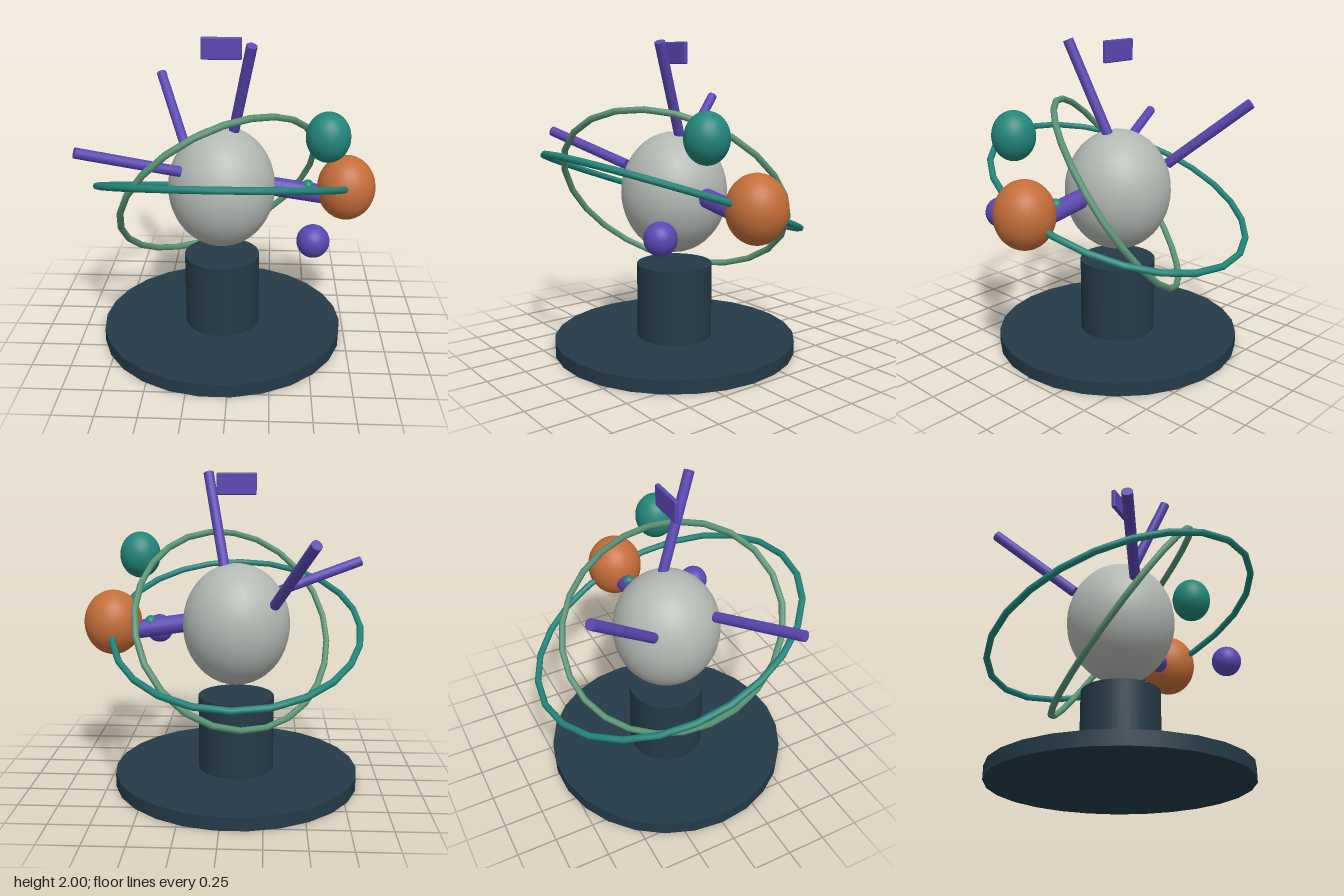
import * as THREE from 'three';
import { RoundedBoxGeometry } from 'three/addons/geometries/RoundedBoxGeometry.js';

const mat = (name, color) => {
  const m = new THREE.MeshStandardMaterial({ color });
  m.name = name;
  return m;
};
const V = (x, y, z) => new THREE.Vector3(x, y, z);

// Closed ellipse given by a centre and two conjugate half-diameters
class Orbit extends THREE.Curve {
  constructor(centre, u, v) {
    super();
    Object.assign(this, { centre, u, v });
  }
  getPoint(t, target = new THREE.Vector3()) {
    const a = t * Math.PI * 2;
    return target.copy(this.centre)
      .addScaledVector(this.u, Math.cos(a))
      .addScaledVector(this.v, Math.sin(a));
  }
}

export function createModel() {
  const group = new THREE.Group();
  const navy = mat('navy', 0x243a48);
  const grey = mat('grey', 0xb3b8b3);
  const orange = mat('orange', 0xc46d39);
  const teal = mat('teal', 0x22857a);
  const green = mat('green', 0x5a9476);
  const purple = mat('purple', 0x5b47b3);

  const add = (name, geometry, material, x = 0, y = 0, z = 0) => {
    const mesh = new THREE.Mesh(geometry, material);
    mesh.name = name;
    mesh.position.set(x, y, z);
    group.add(mesh);
    return mesh;
  };
  const ball = (name, material, x, y, z, rx, ry, rz = rx) =>
    add(name, new THREE.SphereGeometry(1, 32, 24), material, x, y, z).scale.set(rx, ry, rz);
  const rod = (name, a, b, r) => {
    const d = b.clone().sub(a);
    const mid = a.clone().add(b).multiplyScalar(0.5);
    const mesh = add(name, new THREE.CylinderGeometry(r, r, d.length(), 16), purple, mid.x, mid.y, mid.z);
    mesh.quaternion.setFromUnitVectors(V(0, 1, 0), d.normalize());
  };
  const ring = (name, material, u, v) =>
    add(name, new THREE.TubeGeometry(new Orbit(V(-0.07, 1.033, 0), u, v), 24, 0.021, 8, true), material);

  // Stand
  add('base', new THREE.CylinderGeometry(0.79, 0.79, 0.085, 26), navy, -0.07, 0.0425, 0).rotation.y = Math.PI / 2;
  add('column', new THREE.CylinderGeometry(0.245, 0.245, 0.487, 32), navy, -0.07, 0.327, 0);

  // Spheres
  ball('centralSphere', grey, -0.07, 1.04, 0, 0.342, 0.39);
  ball('orangeSphere', orange, 0.72, 1.047, 0, 0.184, 0.208);
  ball('tealSphere', teal, 0.574, 1.453, 0.248, 0.133, 0.152);
  ball('purpleSphere', purple, 0.49, 0.902, 0.507, 0.096, 0.098);
  ball('armBead', teal, 0.478, 1.055, 0, 0.038, 0.038, 0.044);

  // Arm towards the orange sphere, and the three spikes
  rod('arm', V(0.1, 1.07, 0), V(0.63, 0.99, 0), 0.06);
  rod('topSpike', V(0.0, 1.37, 0.0), V(0.12, 1.985, 0.245), 0.033);
  rod('backSpike', V(-0.31, 1.2, -0.21), V(-0.525, 1.617, -0.68), 0.033);
  rod('frontSpike', V(-0.31, 1.21, 0.21), V(-0.895, 1.395, 0.432), 0.033);

  // Floating plate
  add('plate', new RoundedBoxGeometry(0.248, 0.136, 0.028, 2, 0.008), purple, -0.069, 1.922, 0);

  // Orbit rings
  ring('tealRing', teal, V(0.785, 0, 0), V(0, 0.302, 0.84));
  ring('greenRing', green, V(0.6, 0.16, -0.308), V(0, 0.537, 0.485));

  return group;
}
